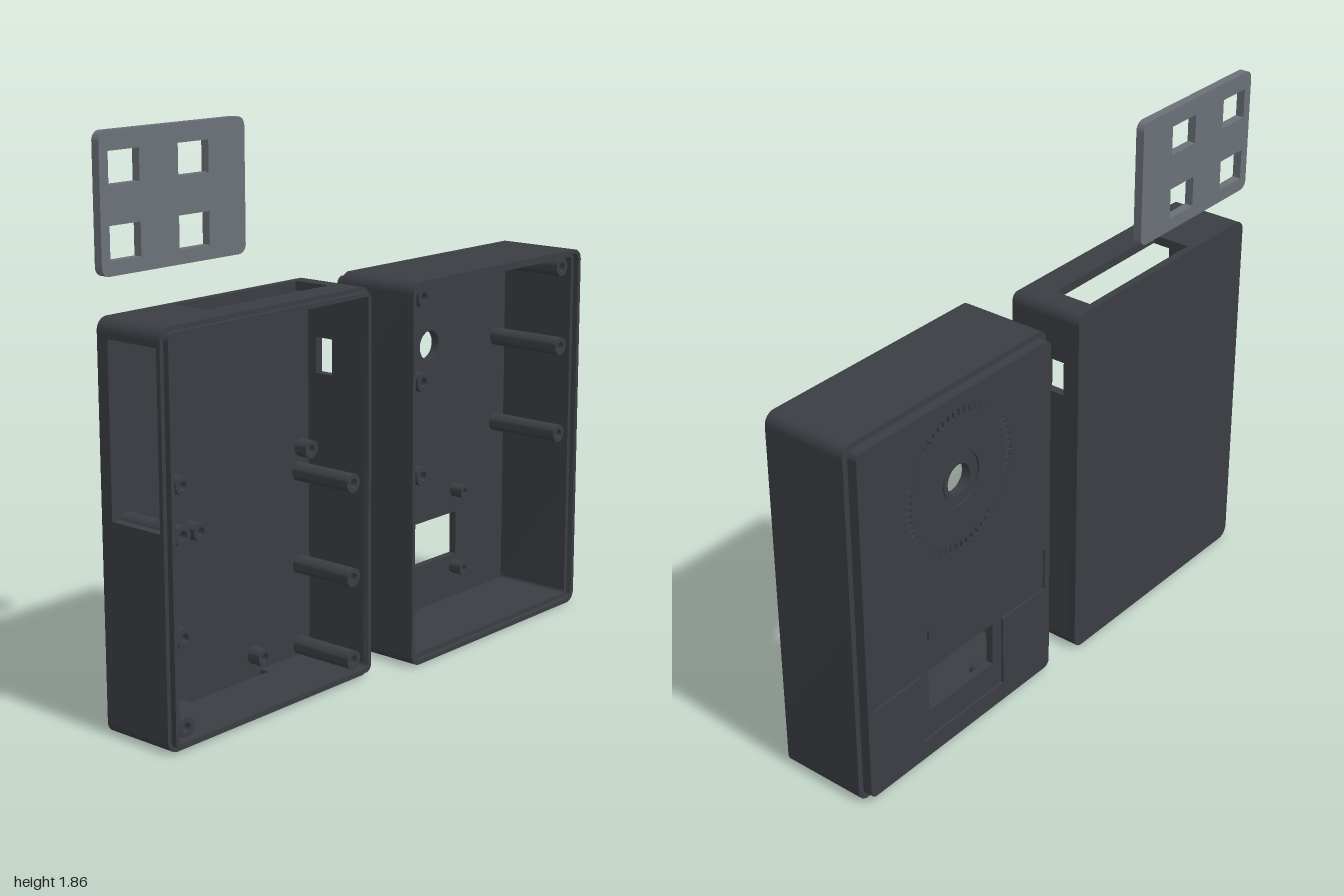
import * as THREE from 'three';
import { toCreasedNormals } from 'three/addons/utils/BufferGeometryUtils.js';

const dark = new THREE.MeshStandardMaterial({ color: 0x3a3d43 });
const grey = new THREE.MeshStandardMaterial({ color: 0x6b7078 });
const HALF = Math.PI / 2;
const WALL = 0.03, R = 0.04;

// Rounded rectangle outline from corner to corner
function rect(x0, y0, x1, y1, r = 0, s = new THREE.Shape()) {
  if (!r) {
    s.moveTo(x0, y0).lineTo(x1, y0).lineTo(x1, y1).lineTo(x0, y1).closePath();
    return s;
  }
  s.absarc(x1 - r, y0 + r, r, -HALF, 0);
  s.absarc(x1 - r, y1 - r, r, 0, HALF);
  s.absarc(x0 + r, y1 - r, r, HALF, Math.PI);
  s.absarc(x0 + r, y0 + r, r, Math.PI, 3 * HALF);
  s.closePath();
  return s;
}

const circle = (x, y, r) => new THREE.Path().absarc(x, y, r, 0, Math.PI * 2);
const polygon = pts => new THREE.Path(pts.map(p => new THREE.Vector2(...p)));

function solid(shape, holes, depth) {
  shape.holes.push(...holes);
  const g = new THREE.ExtrudeGeometry(shape, { depth, bevelEnabled: false, curveSegments: 10 });
  return toCreasedNormals(g, 0.6);
}

function add(group, name, geometry, material = dark) {
  const mesh = new THREE.Mesh(geometry, material);
  mesh.name = name;
  group.add(mesh);
  return mesh;
}

// Slab lying between two z levels
function slab(group, name, shape, holes, z0, z1, material) {
  return add(group, name, solid(shape, holes, z1 - z0).translate(0, 0, z0), material);
}

// Closed rim: the outline inset by a, and hollowed to inset b
function rim(group, name, [x0, y0, x1, y1], a, b, z0, z1) {
  const at = i => rect(x0 + i, y0 + i, x1 - i, y1 - i, Math.max(R - i, 0.01));
  slab(group, name, at(a), [at(b)], z0, z1);
}

// Hollow screw posts rising towards +z
function posts(group, name, spots, z0, z1, r = 0.032) {
  const h = z1 - z0, bore = r * 0.5;
  const profile = [[r, 0], [r, h], [bore, h], [bore, h * 0.3], [0, h * 0.3]]
    .map(p => new THREE.Vector2(...p));
  const geometry = toCreasedNormals(new THREE.LatheGeometry(profile, 24).rotateX(HALF), 0.6);
  for (const [x, y] of spots) add(group, name, geometry).position.set(x, y, z0);
}

function rearShell() {
  const g = new THREE.Group();
  g.name = 'rearShell';
  const box = [-1, 0, -0.065, 1.31], [x0, y0, x1, y1] = box;
  const zf = -0.15, zr = 0.09;
  slab(g, 'rearPanel', rect(...box, R), [], -0.175, zf);

  // Side walls with cable and card openings, drawn in (z, y)
  const side = (name, x, hole) => add(g, name,
    solid(rect(zf, y0 + R, zr, y1 - R), [hole], WALL).rotateY(-HALF).translate(x + WALL, 0, 0));
  side('rightWall', x0, rect(-0.13, 0.69, 0.075, 1.25));
  side('leftWall', x1 - WALL, rect(-0.115, 1.0, -0.045, 1.12));

  // Top and bottom walls with slots, drawn in (x, z)
  const flat = (name, y, hole) => add(g, name,
    solid(rect(x0 + R, zf, x1 - R, zr), [hole], WALL).rotateX(HALF).translate(0, y + WALL, 0));
  flat('topWall', y1 - WALL, rect(-0.7, -0.149, -0.155, -0.01));
  flat('bottomWall', y0, rect(-0.7, -0.149, -0.34, -0.115));

  // Rounded corners
  [[x1 - R, y1 - R], [x0 + R, y1 - R], [x0 + R, y0 + R], [x1 - R, y0 + R]].forEach(([x, y], i) => {
    const s = new THREE.Shape();
    s.absarc(x, y, R, i * HALF, (i + 1) * HALF);
    s.absarc(x, y, R - WALL, (i + 1) * HALF, i * HALF, true);
    s.closePath();
    slab(g, 'cornerWall', s, [], zf, zr);
  });
  rim(g, 'tongue', box, 0.015, WALL, zr, 0.11);

  const tall = [];
  for (const y of [0.065, 0.35, 0.67]) tall.push([-0.92, y], [-0.145, y]);
  posts(g, 'screwPost', tall, zf, 0.09);
  posts(g, 'boardStandoff', [[-0.73, 1.25], [-0.135, 1.25], [-0.73, 0.75], [-0.135, 0.75],
    [-0.655, 0.585], [-0.82, 0.325], [-0.37, 0.09]], zf, -0.1, 0.03);
  return g;
}

function faceShell() {
  const g = new THREE.Group();
  g.name = 'faceShell';
  const box = [0.06, 0, 1, 1.31];
  const cx = 0.53, cy = 0.99;
  const outline = () => rect(0.08, 0.02, 0.98, 1.29, 0.025);

  // Engraved dial ticks and the stepped recess around the display window
  const cuts = [circle(cx, cy, 0.095)];
  const count = 60;
  for (let i = 0; i < count; i++) {
    const a = i / count * Math.PI * 2;
    const corner = (r, w) => [cx + r * Math.cos(a) - w * Math.sin(a), cy + r * Math.sin(a) + w * Math.cos(a)];
    cuts.push(polygon([corner(0.225, -0.005), corner(0.25, -0.005), corner(0.25, 0.005), corner(0.225, 0.005)]));
  }
  cuts.push(polygon([[0.325, 0.09], [0.735, 0.09], [0.735, 0.35], [0.955, 0.35], [0.955, 0.51],
    [0.69, 0.51], [0.69, 0.475], [0.37, 0.475], [0.37, 0.51], [0.105, 0.51], [0.105, 0.35], [0.325, 0.35]]));
  slab(g, 'engravedFace', outline(), cuts, -0.175, -0.167);
  slab(g, 'facePanel', outline(), [circle(cx, cy, 0.053), rect(0.37, 0.19, 0.69, 0.35)], -0.167, -0.14);

  // Raised collar round the speaker hole
  const collar = new THREE.Shape().absarc(cx, cy, 0.07, 0, Math.PI * 2);
  slab(g, 'holeCollar', collar, [circle(cx, cy, 0.053)], -0.172, -0.167);

  // Walls with a thinner front rim
  rim(g, 'walls', box, 0, WALL, -0.14, 0.15);
  rim(g, 'frontRim', box, 0, 0.015, 0.15, 0.17);

  const tall = [];
  for (const y of [0.645, 0.965, 1.25]) tall.push([0.14, y], [0.915, y]);
  posts(g, 'screwPost', tall, -0.14, 0.15);
  posts(g, 'displayStandoff', [[0.375, 0.435], [0.68, 0.435], [0.375, 0.145], [0.68, 0.145]],
    -0.14, -0.09, 0.025);
  return g;
}

function keyPlate() {
  const g = new THREE.Group();
  g.name = 'keyPlate';
  const holes = [];
  for (const [a, b] of [[-0.965, -0.84], [-0.68, -0.55]])
    for (const [c, d] of [[1.475, 1.58], [1.7, 1.8]]) holes.push(rect(a, c, b, d));
  slab(g, 'plate', rect(-1, 1.43, -0.39, 1.86, 0.03), holes, -0.175, -0.145, grey);
  return g;
}

export function createModel() {
  const model = new THREE.Group();
  model.name = 'enclosureKit';
  model.add(rearShell(), faceShell(), keyPlate());
  return model;
}
